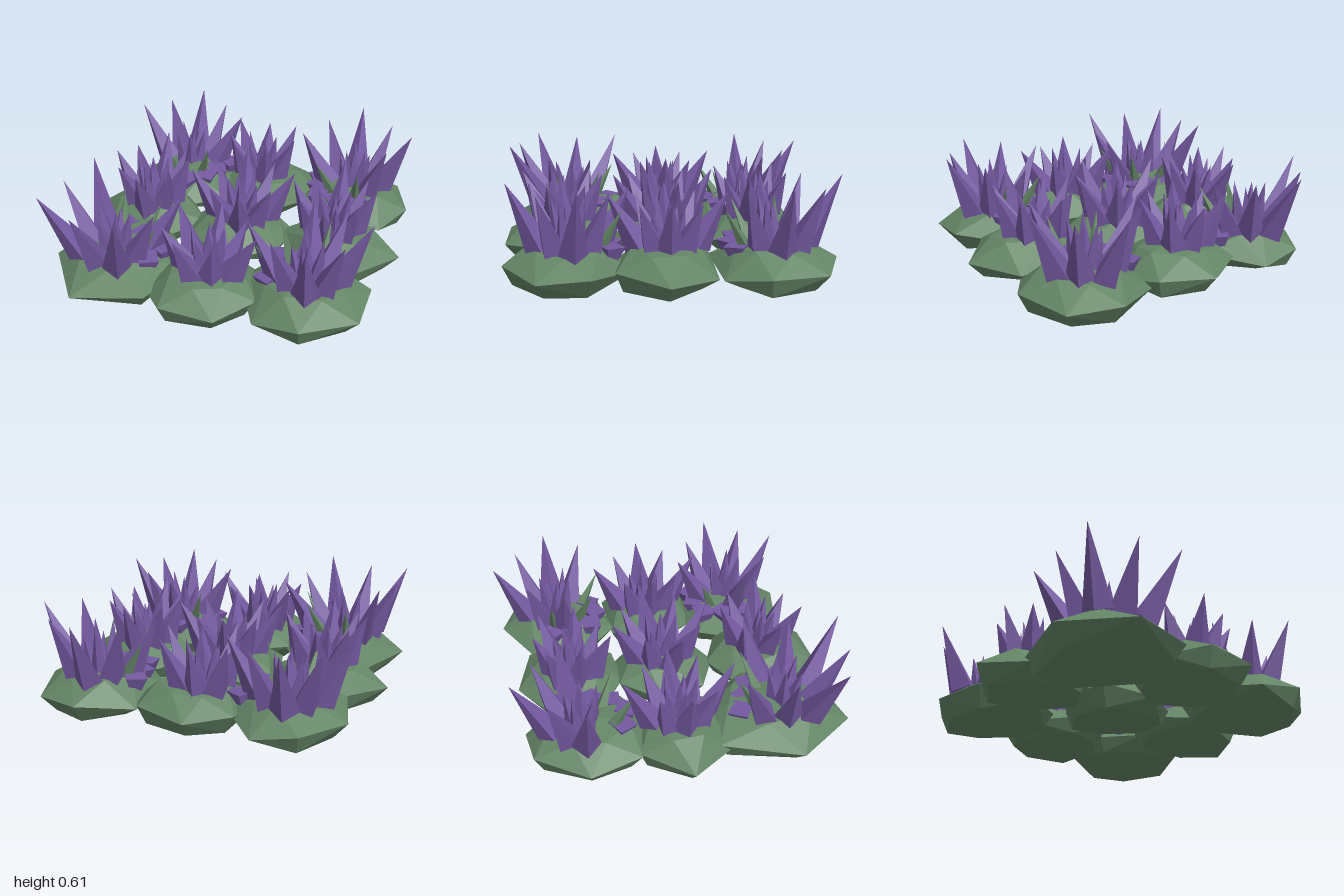
import * as THREE from 'three';
import { ConvexGeometry } from 'three/addons/geometries/ConvexGeometry.js';

const green = new THREE.MeshStandardMaterial({ color: 0x648566, flatShading: true });
const purple = new THREE.MeshStandardMaterial({ color: 0x7459a0, flatShading: true });
const rad = THREE.MathUtils.degToRad;

// rim: x, z, radius in x, radius in z, sides, first corner (degrees)
// fan: x, z, tip height, reach in x, reach in z, spikes, first angle, angle step (degrees)
const plants = [
  { rim: [-0.54, -0.55, 0.36, 0.39, 7, 188], fan: [-0.57, -0.6, 0.59, 0.32, 0.35, 5, 181, 41], corner: true },
  { rim: [-0.01, -0.61, 0.36, 0.33, 7, 261], fan: [-0.06, -0.6, 0.51, 0.23, 0.24, 7, 14, 51] },
  { rim: [0.59, -0.61, 0.37, 0.38, 7, 314], fan: [0.58, -0.62, 0.6, 0.32, 0.35, 6, 175, 45], corner: true },
  { rim: [-0.62, -0.04, 0.38, 0.3, 6, 180], fan: [-0.61, -0.05, 0.52, 0.22, 0.3, 8, 265, 45] },
  { rim: [-0.01, -0.02, 0.34, 0.33, 7, 190], fan: [0, -0.03, 0.51, 0.29, 0.29, 8, 257, 45] },
  { rim: [0.61, -0.01, 0.39, 0.32, 6, 0], fan: [0.58, -0.02, 0.52, 0.23, 0.31, 8, 268, 45] },
  { rim: [-0.57, 0.52, 0.41, 0.47, 6, 170], fan: [-0.59, 0.58, 0.61, 0.37, 0.39, 7, -22, 42], corner: true },
  { rim: [-0.01, 0.62, 0.35, 0.36, 7, 63], fan: [0, 0.6, 0.5, 0.29, 0.23, 7, 270, 51] },
  { rim: [0.55, 0.54, 0.39, 0.37, 7, 25], fan: [0.57, 0.53, 0.59, 0.31, 0.31, 7, 260, 45], corner: true },
];

// Four-sided spike from the middle of its base to its tip, one ridge facing the way it leans
function spike(name, base, tip, radius, material) {
  const dir = tip.clone().sub(base);
  const length = dir.length();
  const geometry = new THREE.ConeGeometry(radius, length, 4)
    .translate(0, length / 2, 0)
    .rotateY(-Math.atan2(dir.z, dir.x));
  const mesh = new THREE.Mesh(geometry, material);
  mesh.name = name;
  mesh.position.copy(base);
  mesh.quaternion.setFromUnitVectors(new THREE.Vector3(0, 1, 0), dir.normalize());
  return mesh;
}

// Faceted mound: uneven foot, wide belly, shoulder turned by half a side, low crown
function mound([x, z, rx, rz, sides, start]) {
  const points = [new THREE.Vector3(x, 0.24, z)];
  const half = Math.PI / sides;
  for (let i = 0; i < sides; i++) {
    const a = rad(start) + 2 * i * half + 0.1 * Math.sin(i * 2.5);
    const add = (angle, k, y) =>
      points.push(new THREE.Vector3(x + k * rx * Math.cos(angle), y, z + k * rz * Math.sin(angle)));
    add(a, 0.77 + 0.1 * Math.sin(i * 2.1), 0.01 - 0.01 * Math.cos(i));
    add(a, 1, 0.1 + 0.025 * Math.sin(i * 2.3));
    add(a + half, 0.58, 0.21 + 0.012 * Math.sin(i * 1.7));
  }
  const mesh = new THREE.Mesh(new ConvexGeometry(points), green);
  mesh.name = 'mound';
  return mesh;
}

export function createModel() {
  const model = new THREE.Group();
  model.name = 'spikyPlantPatch';
  plants.forEach(({ rim, fan, corner }, k) => {
    const [x, z, height, reachX, reachZ, count, start, step] = fan;
    const inward = Math.atan2(-z, -x);
    const at = (a, r, y) => new THREE.Vector3(x + r * Math.cos(a), y, z + r * Math.sin(a));
    const plant = new THREE.Group();
    plant.name = 'plant';
    plant.add(mound(rim));

    // Outer spikes fan outwards, alternately long and short, lower towards the middle of the patch
    for (let i = 0; i < count; i++) {
      const a = rad(start + i * step);
      const r = Math.hypot(reachX * Math.cos(a), reachZ * Math.sin(a)) * (i % 2 ? 0.9 : 1.1);
      const drop = (i % 2 ? 0.03 : 0) + (corner ? 0.07 * Math.max(0, Math.cos(a - inward)) : 0);
      plant.add(spike('outerSpike', at(a, r * 0.48, 0.21), at(a, r, height - drop), 0.085, purple));
    }

    // Inner spikes stand almost upright around a central one
    for (let i = 0; i < 5; i++) {
      const a = i * Math.PI * 0.4 + k;
      const tip = at(a, 0.1, 0.46 + 0.04 * Math.sin(i * 3 + k));
      plant.add(spike('innerSpike', at(a, 0.05, 0.21), tip, 0.055, purple));
    }
    plant.add(spike('centreSpike', at(0, 0, 0.2), at(k, 0.02, 0.45), 0.055, purple));

    // Corner plants: sunken spikes and green leaves towards the middle of the patch
    if (corner) {
      for (let i = -2; i <= 2; i++) {
        const a = inward + i * 0.5;
        const r = 0.25 + 0.03 * Math.sin(i * 2 + k);
        plant.add(spike('sunkenSpike', at(a, r, 0.225), at(a, r - 0.02, 0.03), 0.085, purple));
        if (i % 2 === 0) plant.add(spike('leaf', at(a, 0.17, 0.2), at(a, 0.3, 0.43), 0.04, green));
      }
    }
    model.add(plant);
  });
  return model;
}
